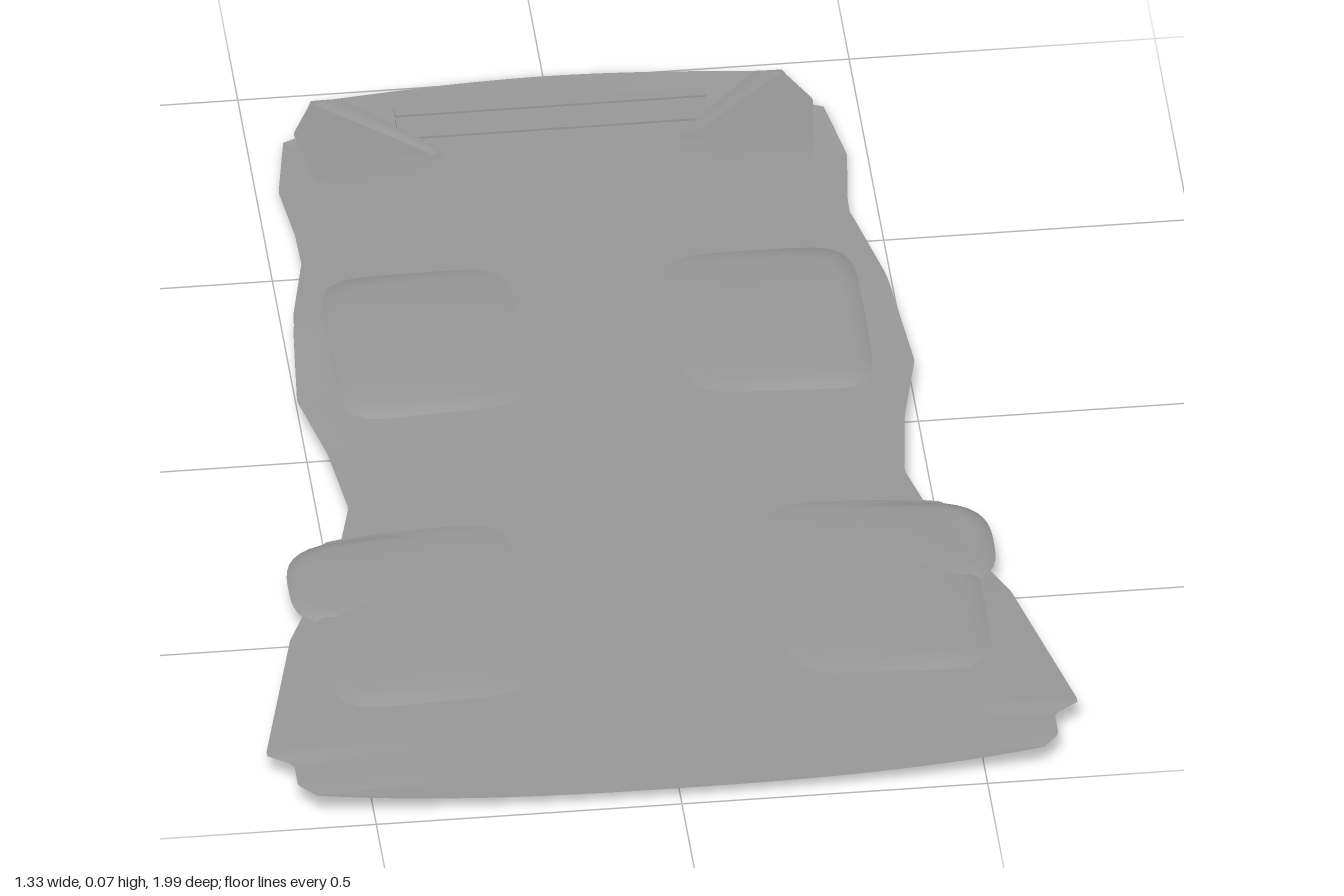
import * as THREE from 'three';

const material = new THREE.MeshStandardMaterial({ color: 0x9a9a9a, side: THREE.DoubleSide });

// Linear lookup in a short list of [z, value] pairs
function lookup(table, z) {
  if (z <= table[0][0]) return table[0][1];
  for (let i = 1; i < table.length; i++) {
    const [z0, a] = table[i - 1], [z1, b] = table[i];
    if (z <= z1) return a + (b - a) * (z - z0) / (z1 - z0);
  }
  return table[table.length - 1][1];
}

// Half widths shared by both panels below the armholes
const lowerSide = [[-0.5, 0.45], [-0.33, 0.485], [-0.1, 0.505], [0.05, 0.472], [0.2, 0.455], [0.3, 0.48],
  [0.55, 0.59], [0.86, 0.665], [0.89, 0.622], [0.96, 0.622], [1, 0.595]];
const backSide = [[-0.96, 0.385], [-0.94, 0.392], [-0.87, 0.41], [-0.857, 0.442], [-0.72, 0.465], [-0.6, 0.452], ...lowerSide];
const frontSide = [[-0.96, 0.385], [-0.94, 0.392], [-0.86, 0.425], [-0.68, 0.405], ...lowerSide];
// Neck opening of the front panel
const neckEdge = [[-0.96, 0.345], [-0.88, 0.285], [-0.77, 0.2], [-0.74, 0.19], [-0.55, 0.11], [-0.36, 0]];

const frontCrown = [[-0.96, 0.02], [-0.75, 0.046], [-0.3, 0.066], [1, 0.07]];
const frontRim = [[-0.96, 0.018], [-0.7, 0.045], [-0.3, 0.057], [-0.1, 0.05], [1, 0.05]];
const backCrown = [[-1, 0.008], [-0.9, 0.005], [-0.3, 0.008], [0, 0.015], [1, 0.027]];
const backRim = [[-0.96, 0.018], [-0.85, 0.014], [-0.5, 0.017], [-0.25, 0.03], [-0.1, 0.05], [1, 0.05]];

function height(crown, rim, side, x, z) {
  const t = Math.min(1, Math.abs(x) / lookup(side, z));
  return lookup(rim, z) + (lookup(crown, z) - lookup(rim, z)) * (1 - t ** 3);
}
const frontY = (x, z) => height(frontCrown, frontRim, frontSide, x, z);
const backY = (x, z) => height(backCrown, backRim, backSide, x, z);
const hemCurve = (x, z) => z - Math.max(0, (z - 0.9) / 0.1) * (0.007 + 0.015 * Math.min(1, (x / 0.6) ** 2));

// Grid surface from point(u, v); flip reverses the facing
function surface(name, nu, nv, point, flip = false) {
  const positions = [], index = [];
  for (let j = 0; j <= nv; j++)
    for (let i = 0; i <= nu; i++) positions.push(...point(i / nu, j / nv));
  for (let j = 0; j < nv; j++)
    for (let i = 0; i < nu; i++) {
      const a = j * (nu + 1) + i, b = a + 1, c = a + nu + 1, d = c + 1;
      index.push(...(flip ? [a, b, c, b, d, c] : [a, c, b, b, c, d]));
    }
  const geometry = new THREE.BufferGeometry();
  geometry.setAttribute('position', new THREE.Float32BufferAttribute(positions, 3));
  geometry.setIndex(index);
  geometry.computeVertexNormals();
  const mesh = new THREE.Mesh(geometry, material);
  mesh.name = name;
  return mesh;
}

// Padded rounded-square patch on the front panel, raised most at its outer edge
function pocket(name, s, [cx, cz], [hw, hd], power, lift, puff) {
  return surface(name, 48, 10, (u, v) => {
    const a = u * Math.PI * 2, c = Math.cos(a), d = Math.sin(a);
    const k = v / (Math.abs(c) ** power + Math.abs(d) ** power) ** (1 / power);
    const x = cx + hw * k * c, z = cz + hd * k * d;
    const edge = v > 0.99 ? -0.001 : lift * (0.5 + 0.5 * k * c) + puff * (1 - v ** 3);
    return [s * x, frontY(x, z) + edge, z];
  }, s > 0);
}

export function createModel() {
  const group = new THREE.Group();
  group.name = 'vest';

  for (const s of [1, -1]) {
    const label = s > 0 ? 'left' : 'right';

    // Front panel half, open along the V neck
    group.add(surface(label + 'FrontPanel', 14, 170, (u, v) => {
      const z = -0.96 + 1.96 * v;
      const inner = lookup(neckEdge, z), x = inner + (lookup(frontSide, z) - inner) * u;
      return [s * x, frontY(x, z), hemCurve(x, z)];
    }, s < 0));

    // Collar edge folded over the upper neckline
    group.add(surface(label + 'Collar', 4, 10, (u, v) => {
      const z = -0.95 + 0.2 * v;
      const x = lookup(neckEdge, z) + 0.045 * u * (1 - 0.6 * v);
      return [s * x, frontY(x, z) + 0.006 * (1 - u * u), z];
    }, s < 0));

    // Chest pocket, then hip pocket with the rounded end of its flap
    group.add(pocket(label + 'ChestPocket', s, [0.28, -0.22], [0.16, 0.2], 6, 0.006, 0.005));
    group.add(pocket(label + 'HipPocket', s, [0.37, 0.525], [0.175, 0.245], 6, 0.004, 0.006));
    group.add(pocket(label + 'HipPocketFlap', s, [0.43, 0.41], [0.147, 0.122], 3, 0.006, 0.006));
  }

  // Back panel with the raised curve of the back neck
  group.add(surface('backPanel', 28, 170, (u, v) => {
    const z = -0.96 + 1.96 * v, x = (2 * u - 1) * lookup(backSide, z);
    const rise = 0.04 * Math.max(0, 1 - (x / 0.37) ** 2) * Math.max(0, 1 - (z + 0.96) / 0.16);
    return [x, backY(x, z), hemCurve(x, z) - rise];
  }, true));

  // Hem allowance turned up inside the back
  group.add(surface('backHem', 28, 4, (u, v) => {
    const z = 0.93 + 0.07 * v, x = (2 * u - 1) * lookup(backSide, z) * 0.95;
    return [x, backY(x, z) + 0.009 * (1 - (2 * u - 1) ** 4), hemCurve(x, z)];
  }));

  // Yoke layered under the back, with a curved lower edge
  group.add(surface('backYoke', 28, 30, (u, v) => {
    const t = 2 * u - 1, end = -0.23 - 0.15 * t ** 4;
    const z = -0.93 + (end + 0.93) * v, x = t * lookup(backSide, z) * 0.96;
    return [x, backY(x, z) - 0.005, z];
  }, true));

  // Facing inside the back neck
  group.add(surface('neckFacing', 20, 12, (u, v) => {
    const x = (2 * u - 1) * 0.33;
    const start = -0.95 - 0.035 * (1 - (x / 0.33) ** 2);
    const end = -0.71 - 0.03 * (x / 0.19) ** 2, z = start + (end - start) * v;
    return [x, backY(x, z) + 0.006, z];
  }));

  // Neck band with its fold
  const bands = [['neckBand', 0.51, 0.055, -0.866, 0.019], ['neckBandFold', 0.51, 0.022, -0.905, 0.024]];
  for (const [name, width, depth, z, y] of bands) {
    const band = new THREE.Mesh(new THREE.BoxGeometry(width, 0.004, depth), material);
    band.name = name;
    band.position.set(0, y, z);
    group.add(band);
  }

  // Overlapping front closure
  group.add(surface('frontPlacket', 6, 40, (u, v) => {
    const z = -0.33 + 1.33 * v, x = -0.05 + 0.11 * u;
    return [x, frontY(x, z) + 0.003 * Math.sqrt(u), hemCurve(x, z)];
  }));

  return group;
}
